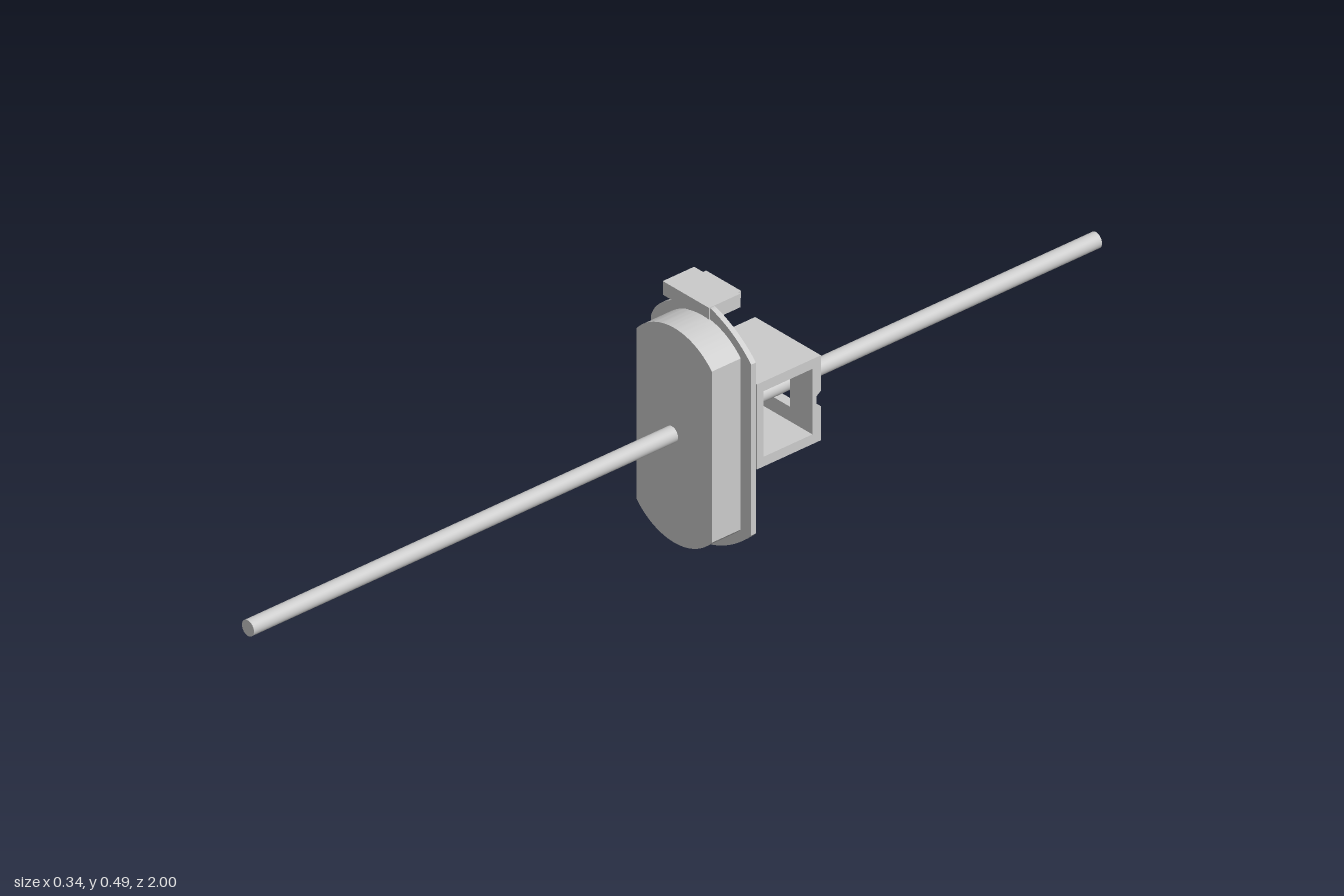
import * as THREE from 'three';
import { toCreasedNormals } from 'three/addons/utils/BufferGeometryUtils.js';

const CX = 0.034, CY = 0.244; // rod axis

export function createModel() {
  const model = new THREE.Group();
  const material = new THREE.MeshStandardMaterial({ color: 0xcccccc });

  const add = (name, geometry, parent = model) => {
    const mesh = new THREE.Mesh(geometry, material);
    mesh.name = name;
    parent.add(mesh);
    return mesh;
  };
  // Box given by its lower and upper limits on each axis
  const box = (name, [x0, x1], [y0, y1], [z0, z1], parent) => {
    const g = new THREE.BoxGeometry(x1 - x0, y1 - y0, z1 - z0);
    g.translate((x0 + x1) / 2, (y0 + y1) / 2, (z0 + z1) / 2);
    return add(name, g, parent);
  };
  // Outline in x/y extruded between two z values
  const plate = (name, shape, z0, z1) => {
    const g = new THREE.ExtrudeGeometry(shape, { depth: z1 - z0, bevelEnabled: false, curveSegments: 20 });
    g.translate(0, 0, z0);
    return add(name, toCreasedNormals(g, 0.4));
  };
  // Profile in (-z, y) extruded between two x values
  const prism = (name, points, x0, x1, parent) => {
    const shape = new THREE.Shape(points.map(([z, y]) => new THREE.Vector2(-z, y)));
    const g = new THREE.ExtrudeGeometry(shape, { depth: x1 - x0, bevelEnabled: false });
    g.rotateY(Math.PI / 2).translate(x0, 0, 0);
    return add(name, g, parent);
  };

  // Long rod through everything
  const rod = add('rod', new THREE.CylinderGeometry(0.016, 0.016, 2, 32).rotateX(Math.PI / 2));
  rod.position.set(CX, CY, 0);

  // Front body with straight sides and arched ends
  const r = 0.134, a = Math.asin(0.1 / r), rise = 0.465 - r;
  const body = new THREE.Shape();
  body.absarc(0.04, rise, r, Math.PI / 2 - a, Math.PI / 2 + a, false);
  body.absarc(0.04, 2 * CY - rise, r, 1.5 * Math.PI - a, 1.5 * Math.PI + a, false);
  plate('body', body, -0.068, 0);

  // Flange behind the body
  const flange = new THREE.Shape();
  const m = (y) => 2 * CY - y;
  flange.moveTo(0.168, m(0.42));
  flange.lineTo(0.168, 0.42);
  flange.quadraticCurveTo(0.122, 0.468, 0.06, 0.487);
  flange.quadraticCurveTo(-0.01, 0.482, -0.065, 0.445);
  flange.quadraticCurveTo(-0.092, 0.425, -0.099, 0.4);
  flange.lineTo(-0.099, m(0.4));
  flange.quadraticCurveTo(-0.092, m(0.425), -0.065, m(0.445));
  flange.quadraticCurveTo(-0.01, m(0.482), 0.06, m(0.487));
  flange.quadraticCurveTo(0.122, m(0.468), 0.168, m(0.42));
  plate('flange', flange, -0.079, -0.068);

  // Upper and lower clips with a thin tongue at the back
  for (const [name, y] of [['upperClip', 0.474], ['lowerClip', 0.014]]) {
    const clip = new THREE.Group();
    clip.name = name;
    model.add(clip);
    box('clipBlock', [-0.065, 0.058], [y - 0.014, y + 0.014], [-0.14, -0.066], clip);
    box('clipTongue', [-0.05, 0.043], [y - 0.007, y + 0.007], [-0.155, -0.14], clip);
  }

  // Neck between flange and frame
  box('neck', [-0.04, 0.1], [0.18, 0.315], [-0.126, -0.079]);

  // Side tab with grip ribs on its back
  box('sideTab', [-0.17, -0.05], [0.17, 0.321], [-0.142, -0.128]);
  for (let i = 0; i < 6; i++) {
    const y = 0.192 + i * 0.0215;
    box('gripRib', [-0.162, -0.07], [y - 0.003, y + 0.003], [-0.147, -0.142]);
  }

  // Square frame, open on both sides
  const frame = new THREE.Group();
  frame.name = 'frame';
  model.add(frame);
  const X = [-0.055, 0.12], Y = [0.16, 0.335];
  box('frameFront', X, [0.18, 0.315], [-0.14, -0.124], frame);
  box('frameTop', X, [0.315, Y[1]], [-0.275, -0.124], frame);
  box('frameBottom', X, [Y[0], 0.18], [-0.275, -0.124], frame);

  // Rear wall: grooved halves beside a central opening for the rod
  const rear = [[-0.255, 0.18], [-0.275, 0.18], [-0.275, 0.23], [-0.265, 0.237],
    [-0.265, 0.255], [-0.275, 0.262], [-0.275, 0.315], [-0.255, 0.315]];
  prism('rearWallRight', rear, X[0], 0.008, frame);
  prism('rearWallLeft', rear, 0.06, X[1], frame);
  box('rearWallUpper', [0.008, 0.06], [0.282, 0.315], [-0.275, -0.255], frame);
  box('rearWallLower', [0.008, 0.06], [0.18, 0.21], [-0.275, -0.255], frame);

  return model;
}
